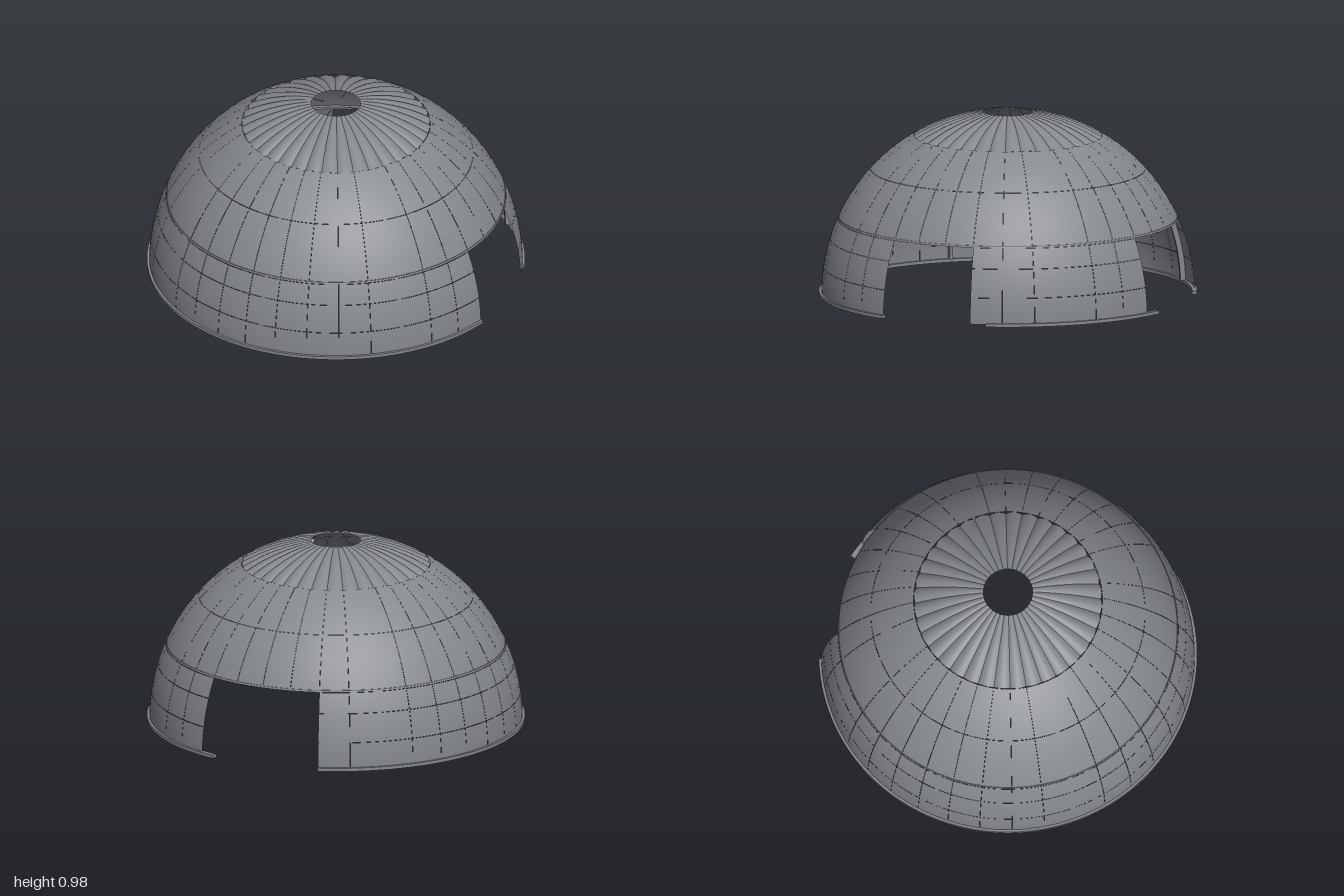
import * as THREE from 'three';
import { mergeGeometries, toCreasedNormals } from 'three/addons/utils/BufferGeometryUtils.js';

const R = 0.987;                       // dome radius
const DEG = Math.PI / 180;
const DOOR_TOP = 0.405;

// Curved bar with square section: angles in degrees, lying in the xy plane, extruded along z
function arcBar(inner, outer, a0, a1, depth) {
  const s = new THREE.Shape();
  s.absarc(0, 0, outer, a0 * DEG, a1 * DEG, false);
  s.absarc(0, 0, inner, a1 * DEG, a0 * DEG, true);
  s.closePath();
  const g = new THREE.ExtrudeGeometry(s, { depth, bevelEnabled: false, curveSegments: 72 });
  return toCreasedNormals(g, 0.4);
}

// Flat ring sector whose top is at height y; angles run from +x towards +z
function ringBar(inner, outer, a0, a1, y, depth) {
  return arcBar(inner, outer, a0, a1, depth).rotateX(Math.PI / 2).translate(0, y, 0);
}

// One curved plate of the dome between two angles and two heights
function panel(a0, a1, y0, y1) {
  const gap = 0.0007;
  const t0 = Math.acos(y1 / R) + gap, t1 = Math.acos(y0 / R) - gap;
  return new THREE.SphereGeometry(R, 4, 5,
    Math.PI - a1 * DEG + gap, (a1 - a0) * DEG - 2 * gap, t0, t1 - t0);
}

const inDoor = (a) => (a > 30 && a < 60) || (a > 290 && a < 330);

// Fluted crown: rounded ridges on the sphere with sharp valleys between
function flutedCrown() {
  const rInner = 0.13, rOuter = 0.498, parts = [];
  const t0 = Math.asin(rInner / R), t1 = Math.asin(rOuter / R);
  for (let i = 0; i < 36; i++) {
    const g = new THREE.SphereGeometry(R, 8, 8, i * 10 * DEG, 10 * DEG, t0, t1 - t0);
    const p = g.attributes.position, uv = g.attributes.uv;
    const v = new THREE.Vector3();
    for (let k = 0; k < p.count; k++) {
      v.fromBufferAttribute(p, k);
      const across = uv.getX(k) * 2 - 1;
      const depth = 0.028 * Math.hypot(v.x, v.z) * across * across;
      v.setLength(R - depth);
      p.setXYZ(k, v.x, v.y, v.z);
    }
    g.computeVertexNormals();
    parts.push(g);
  }
  return mergeGeometries(parts);
}

export function createModel() {
  const group = new THREE.Group();
  const steel = new THREE.MeshStandardMaterial({ color: 0x84878c, side: THREE.DoubleSide });
  steel.name = 'greySteel';
  const add = (name, geometry) => {
    const mesh = new THREE.Mesh(geometry, steel);
    mesh.name = name;
    group.add(mesh);
  };

  // Shell plates, leaving two doorways in the lower courses
  const heights = [0.01, 0.15, 0.3, DOOR_TOP, 0.67, 0.852];
  for (let row = 0; row < heights.length - 1; row++) {
    const plates = [];
    for (let a = 0; a < 360; a += 10) {
      if (row < 3 && inDoor(a + 5)) continue;
      plates.push(panel(a, a + 10, heights[row], heights[row + 1]));
    }
    add('shellCourse' + (row + 1), mergeGeometries(plates));
  }

  add('flutedCrown', flutedCrown());

  // Base flange, broken at the doorways
  add('baseFlangeMain', ringBar(0.972, 1.0, 60, 290, 0.018, 0.018));
  add('baseFlangeSide', ringBar(0.972, 1.0, 325, 385, 0.018, 0.018));

  // Inner hoops
  add('lowerHoop', ringBar(0.875, 0.897, 0, 360, DOOR_TOP + 0.012, 0.012));
  add('upperHoop', ringBar(0.605, 0.626, 0, 360, 0.76, 0.012));

  // Inner upright ribs, shortened above the doorways
  const width = 0.018;
  for (let a = 0; a < 360; a += 45) {
    const start = inDoor(a) ? Math.asin(DOOR_TOP / R) / DEG : 1;
    const rib = arcBar(0.957, 0.985, start, 59.5, width);
    rib.translate(0, 0, -width / 2).rotateY(-a * DEG);
    add('innerRib', rib);
  }

  // Small tabs in the roof opening
  for (let a = 45; a < 360; a += 90) {
    const tab = new THREE.BoxGeometry(0.06, 0.006, 0.004);
    tab.translate(0.1, 0.972, 0).rotateY(-a * DEG);
    add('roofTab', tab);
  }
  return group;
}
